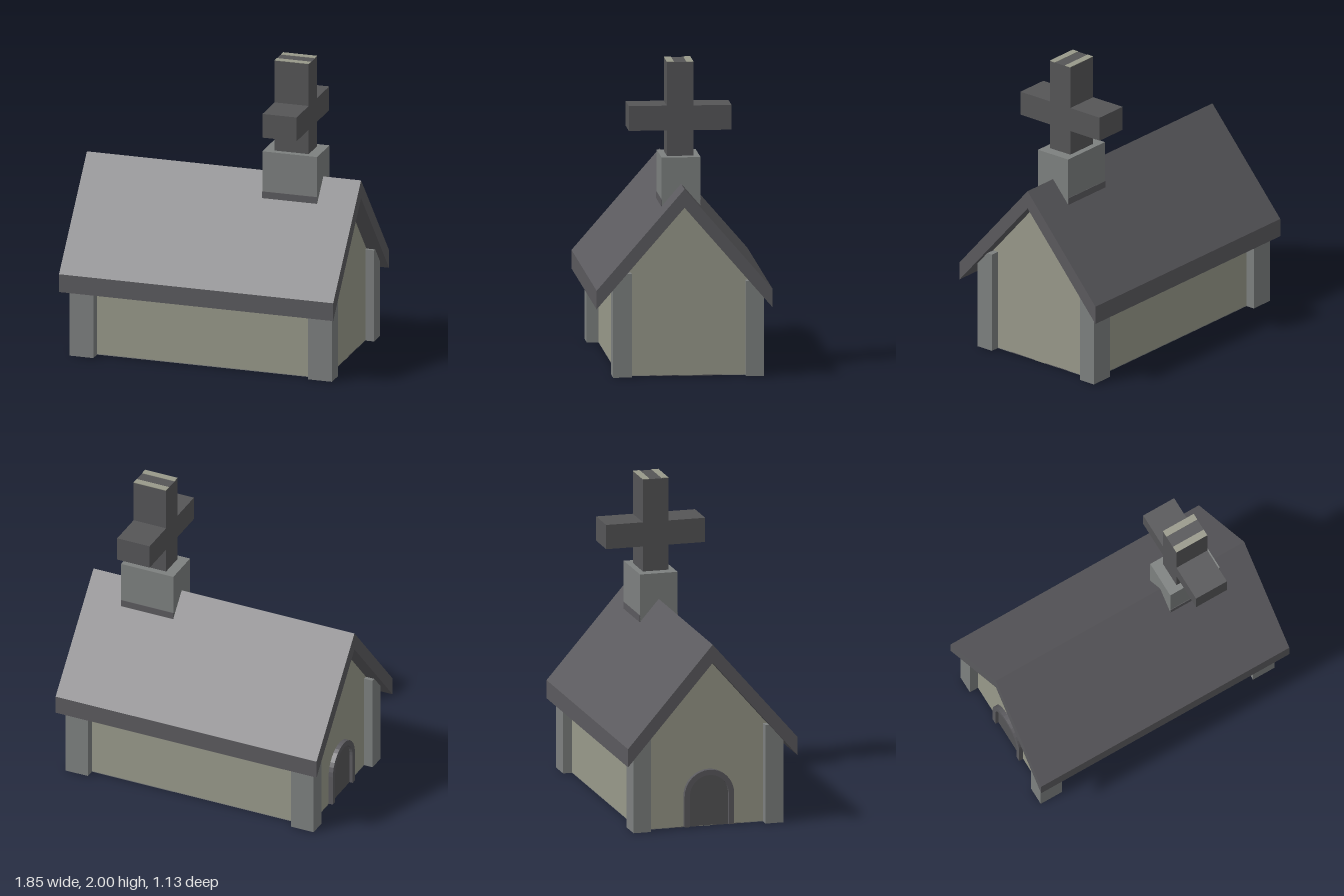
import * as THREE from 'three';

const mat = (name, color) => {
  const m = new THREE.MeshStandardMaterial({ color });
  m.name = name;
  return m;
};

export function createModel() {
  const group = new THREE.Group();
  group.name = 'chapel';
  const roofMat = mat('slate', 0x5b5a5e);
  const crossMat = mat('dark stone', 0x555557);
  const stoneMat = mat('grey stone', 0x7d807f);
  const wallMat = mat('beige plaster', 0x98998a);

  const add = (name, geometry, material) => {
    const mesh = new THREE.Mesh(geometry, material);
    mesh.name = name;
    group.add(mesh);
    return mesh;
  };
  // Box given by its extents on each axis
  const box = (name, material, [x0, x1], [y0, y1], [z0, z1]) => {
    const g = new THREE.BoxGeometry(x1 - x0, y1 - y0, z1 - z0);
    g.translate((x0 + x1) / 2, (y0 + y1) / 2, (z0 + z1) / 2);
    return add(name, g, material);
  };
  // Shape drawn in (z, y) and extruded along x
  const alongX = (name, material, shape, x0, x1) => {
    const g = new THREE.ExtrudeGeometry(shape, { depth: x1 - x0, bevelEnabled: false, curveSegments: 8 });
    g.rotateY(-Math.PI / 2);
    g.translate(x1, 0, 0);
    return add(name, g, material);
  };
  const poly = (pts) => new THREE.Shape(pts.map(([z, y]) => new THREE.Vector2(z, y)));

  // Gabled body
  alongX('walls', wallMat,
    poly([[-0.455, 0.004], [0.41, 0.004], [0.41, 0.63], [0, 1.105], [-0.455, 0.58]]), -0.82, 0.82);

  // Floor strips under the body
  box('floorEdgeBack', stoneMat, [-0.82, 0.82], [0, 0.005], [-0.455, -0.25]);
  box('floorEdgeFront', stoneMat, [-0.82, 0.82], [0, 0.005], [0.22, 0.41]);
  box('floorBandBack', roofMat, [-0.82, 0.82], [0, 0.005], [-0.25, -0.06]);
  box('floorBandFront', roofMat, [-0.82, 0.82], [0, 0.005], [0.03, 0.22]);
  box('floorMiddle', wallMat, [-0.82, 0.82], [0, 0.005], [-0.06, 0.03]);

  // Corner pillars
  box('frontRightPillar', stoneMat, [-0.88, -0.72], [0, 0.65], [0.365, 0.485]);
  box('frontLeftPillar', stoneMat, [0.72, 0.88], [0, 0.67], [0.335, 0.455]);
  for (const s of [-1, 1]) {
    box(s < 0 ? 'backRightPillar' : 'backLeftPillar', stoneMat,
      s < 0 ? [-0.88, -0.72] : [0.72, 0.88], [0, 0.615], [-0.515, -0.4]);
  }

  // Overhanging roof
  alongX('roof', roofMat, poly([
    [0.565, 0.45], [0.565, 0.57], [0, 1.22], [-0.565, 0.57], [-0.565, 0.45], [0, 1.1],
  ]), -0.925, 0.925);

  // Tower block straddling the ridge, with a dark foot on each side
  box('tower', stoneMat, [0.3, 0.67], [1.08, 1.39], [-0.125, 0.125]);
  for (const s of [-1, 1]) {
    box('towerFoot', roofMat, [0.3, 0.67], [1.075, 1.12], [s * 0.125 - 0.003, s * 0.125 + 0.003]);
  }

  // Cross with two pale strips on its top
  const a = 0.085, b = 0.33, lo = 1.555, hi = 1.715, top = 1.997;
  alongX('cross', crossMat, poly([
    [-a, 1.385], [a, 1.385], [a, lo], [b, lo], [b, hi], [a, hi],
    [a, top], [-a, top], [-a, hi], [-b, hi], [-b, lo], [-a, lo],
  ]), 0.37, 0.6);
  for (const s of [-1, 1]) {
    box('crossTopStrip', wallMat, [0.37, 0.6], [1.996, 2], [s * 0.0625 - 0.0225, s * 0.0625 + 0.0225]);
  }

  // Arched door and frame on the right gable
  const arch = (Type, r, spring) => {
    const p = new Type();
    p.moveTo(-r, 0.005);
    p.lineTo(r, 0.005);
    p.lineTo(r, spring);
    p.absarc(0, spring, r, 0, Math.PI, false);
    p.lineTo(-r, 0.005);
    return p;
  };
  alongX('door', crossMat, arch(THREE.Shape, 0.14, 0.21), -0.828, -0.819);
  const frame = new THREE.Shape();
  frame.moveTo(0.165, 0.005);
  frame.lineTo(0.165, 0.21);
  frame.absarc(0, 0.21, 0.165, 0, Math.PI, false);
  frame.lineTo(-0.165, 0.005);
  frame.lineTo(-0.13, 0.005);
  frame.lineTo(-0.13, 0.21);
  frame.absarc(0, 0.21, 0.13, Math.PI, 0, true);
  frame.lineTo(0.13, 0.005);
  alongX('doorFrame', roofMat, frame, -0.85, -0.819);

  return group;
}
